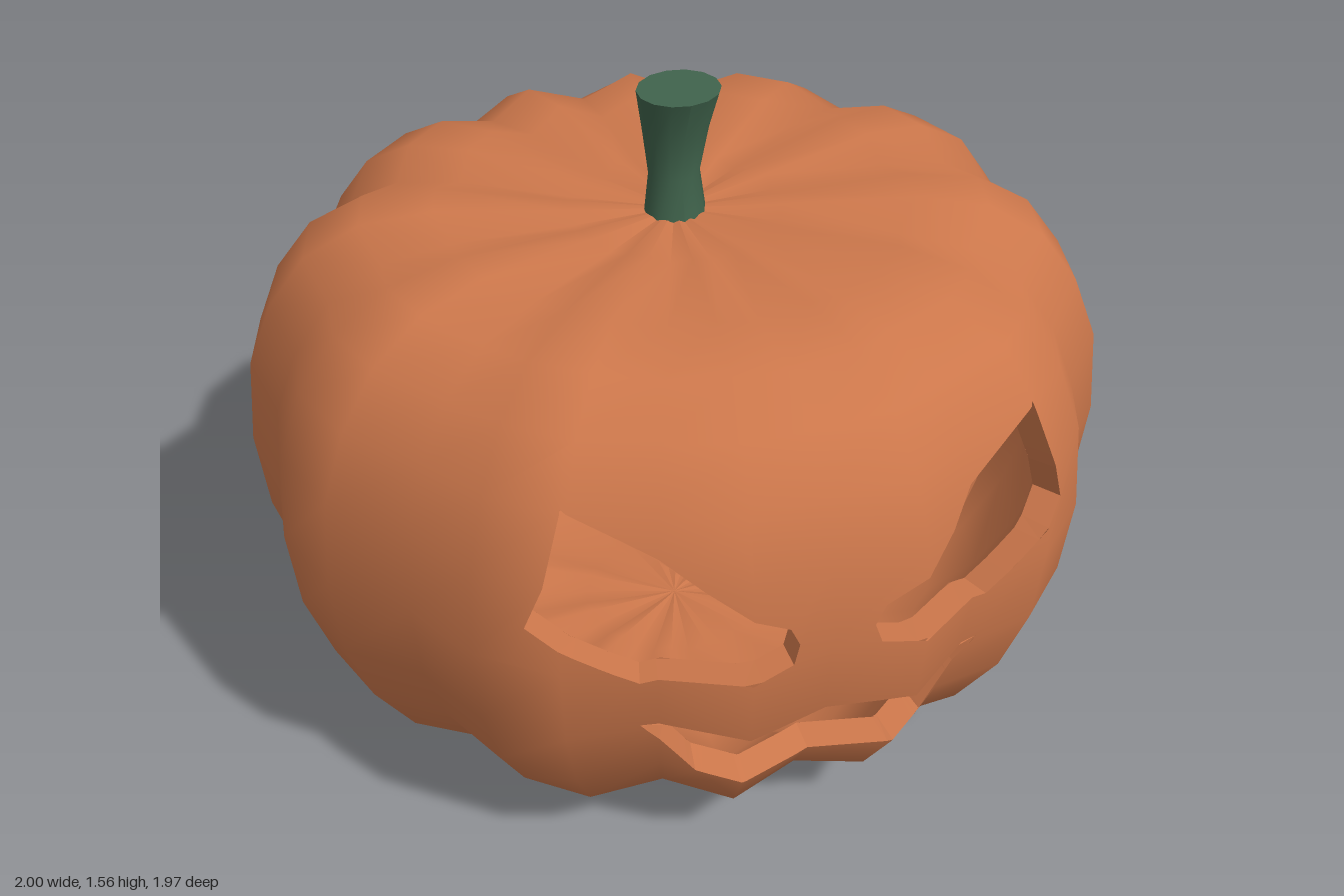
import * as THREE from 'three';

const SIDES = 32, CY = 0.64, WALL = 0.93, CUT = 0.95;
// rib profile (radius, height), top to bottom
const PROFILE = [[0, 1.235], [0.25, 1.25], [0.55, 1.275], [0.72, 1.253], [0.85, 1.18], [0.94, 1.06], [1.0, 0.91],
  [1.02, 0.7], [1.0, 0.5], [0.94, 0.32], [0.84, 0.16], [0.72, 0.06], [0.55, 0], [0.25, 0.02], [0, 0.03]];
// ribs and grooves over one quarter turn
const RIBS = [0.955, 1, 1, 0.94, 0.985, 0.99, 0.93, 0.985, 0.925];

const mirror = (poly) => poly.map(([x, y]) => [-x, y]).reverse();
const shrink = (poly, s) => poly.map(([x, y]) => [x * s, CY + (y - CY) * s]);

// carved outlines, counter-clockwise from the front
const EYE = [[-0.524, 1.064], [-0.615, 0.8], [-0.4, 0.652], [-0.1, 0.693], [-0.085, 0.738], [-0.107, 0.786]];
const HALF_MOUTH = [[0, 0.305], [0.17, 0.315], [0.27, 0.338], [0.396, 0.52], [0, 0.5]];
const MOUTH = [[-0.396, 0.52], [-0.27, 0.338], [-0.17, 0.315], ...HALF_MOUTH];
const HOLES = [EYE, mirror(EYE), HALF_MOUTH, mirror(HALF_MOUTH)];

// closed ribbed shell, scaled about the pumpkin's middle
function shell(scale, inward) {
  const pos = [], index = [];
  PROFILE.forEach(([r, y]) => {
    for (let k = 0; k < SIDES; k++) {
      const q = k % 16, rib = RIBS[q <= 8 ? q : 16 - q];
      const f = scale * (1 + (rib - 1) * Math.min(1, r / 0.5));
      const a = k / SIDES * Math.PI * 2;
      pos.push(Math.cos(a) * r * f, CY + (y - CY) * f, Math.sin(a) * r * f);
    }
  });
  for (let j = 0; j < PROFILE.length - 1; j++) {
    for (let k = 0; k < SIDES; k++) {
      const n = (k + 1) % SIDES;
      const a = j * SIDES + k, b = j * SIDES + n, c = a + SIDES, d = b + SIDES;
      const tris = [];
      if (j > 0) tris.push([a, b, d]);
      if (j < PROFILE.length - 2) tris.push([a, d, c]);
      else if (j === PROFILE.length - 2) tris[0] = [a, b, d];
      tris.forEach(([p, q, r]) => index.push(...(inward ? [p, r, q] : [p, q, r])));
    }
  }
  const g = new THREE.BufferGeometry();
  g.setAttribute('position', new THREE.Float32BufferAttribute(pos, 3));
  g.setIndex(index);
  g.computeVertexNormals();
  return g;
}

// keep the part of a polygon on one side of the line a-b
function clip(poly, a, b, sign) {
  const side = (v) => sign * ((b[0] - a[0]) * (v[1] - a[1]) - (b[1] - a[1]) * (v[0] - a[0]));
  const out = [];
  poly.forEach((v, i) => {
    const w = poly[(i + 1) % poly.length], s = side(v), t = side(w);
    if (s >= 0) out.push(v);
    if ((s > 0 && t < 0) || (s < 0 && t > 0)) out.push(v.map((c, m) => c + (w[m] - c) * s / (s - t)));
  });
  return out.length > 2 ? out : [];
}

// polygon minus a convex hole
function subtract(poly, hole) {
  const pieces = [];
  let rest = poly;
  for (let i = 0; i < hole.length; i++) {
    const a = hole[i], b = hole[(i + 1) % hole.length];
    const outside = clip(rest, a, b, -1);
    if (outside.length) pieces.push(outside);
    rest = clip(rest, a, b, 1);
    if (!rest.length) return [poly];
  }
  return pieces;
}

// cut the holes through the front half of a shell
function carve(geometry, holes) {
  const p = geometry.attributes.position, n = geometry.attributes.normal, idx = geometry.index.array;
  const vert = (i) => [p.getX(i), p.getY(i), p.getZ(i), n.getX(i), n.getY(i), n.getZ(i)];
  const pos = [], nor = [];
  for (let t = 0; t < idx.length; t += 3) {
    const tri = [vert(idx[t]), vert(idx[t + 1]), vert(idx[t + 2])];
    let pieces = [tri];
    if (tri.every((v) => v[2] > 0.1)) holes.forEach((h) => { pieces = pieces.flatMap((q) => subtract(q, h)); });
    pieces.forEach((q) => {
      for (let i = 1; i < q.length - 1; i++) {
        [q[0], q[i], q[i + 1]].forEach((v) => { pos.push(...v.slice(0, 3)); nor.push(...v.slice(3)); });
      }
    });
  }
  const g = new THREE.BufferGeometry();
  g.setAttribute('position', new THREE.Float32BufferAttribute(pos, 3));
  g.setAttribute('normal', new THREE.Float32BufferAttribute(nor, 3));
  return g;
}

// cut faces between the outer and inner outlines
function rim(outline, outer, inner) {
  const probe = new THREE.MeshBasicMaterial({ side: THREE.DoubleSide });
  const project = (geometry, poly) => {
    const mesh = new THREE.Mesh(geometry, probe), pts = [], steps = 8;
    poly.forEach((a, i) => {
      const b = poly[(i + 1) % poly.length];
      for (let s = 0; s < steps; s++) {
        const x = a[0] + (b[0] - a[0]) * s / steps, y = a[1] + (b[1] - a[1]) * s / steps;
        const ray = new THREE.Raycaster(new THREE.Vector3(x + 1e-5, y + 1e-5, 3), new THREE.Vector3(0, 0, -1));
        const hit = ray.intersectObject(mesh)[0];
        pts.push([x, y, hit ? hit.point.z : 0.85]);
      }
    });
    return pts;
  };
  const o = project(outer, outline), n = project(inner, shrink(outline, CUT)), pos = [];
  o.forEach((a, i) => {
    const j = (i + 1) % o.length;
    pos.push(...a, ...o[j], ...n[j], ...a, ...n[j], ...n[i]);
  });
  const g = new THREE.BufferGeometry();
  g.setAttribute('position', new THREE.Float32BufferAttribute(pos, 3));
  g.computeVertexNormals();
  return g;
}

// flared stem leaning to the front: height, x radius, z radius, z centre, tilt
function stemGeometry() {
  const rings = [[1.548, 0.097, 0.078, 0.027, -0.1], [1.44, 0.077, 0.057, 0.008, 0],
    [1.33, 0.06, 0.053, -0.003, 0], [1.21, 0.075, 0.068, 0.004, 0]];
  const g = new THREE.CylinderGeometry(1, 1, 3, 14, 3);
  const p = g.attributes.position;
  for (let i = 0; i < p.count; i++) {
    const [y, rx, rz, cz, tilt] = rings[Math.round(1.5 - p.getY(i))];
    const z = p.getZ(i) * rz;
    p.setXYZ(i, p.getX(i) * rx, y + z * tilt, cz + z);
  }
  g.computeVertexNormals();
  return g;
}

export function createModel() {
  const model = new THREE.Group();
  model.name = 'carvedPumpkin';
  const orange = new THREE.MeshStandardMaterial({ color: 0xcc774b, side: THREE.DoubleSide });
  orange.name = 'pumpkinOrange';
  const green = new THREE.MeshStandardMaterial({ color: 0x3f624b });
  green.name = 'stemGreen';
  const add = (name, geometry, material) => {
    const mesh = new THREE.Mesh(geometry, material);
    mesh.name = name;
    model.add(mesh);
  };

  const outer = shell(1, false), inner = shell(WALL, true);
  add('outerSkin', carve(outer, HOLES), orange);
  add('innerWall', carve(inner, HOLES.map((h) => shrink(h, CUT))), orange);
  add('rightEyeRim', rim(EYE, outer, inner), orange);
  add('leftEyeRim', rim(mirror(EYE), outer, inner), orange);
  add('mouthRim', rim(MOUTH, outer, inner), orange);
  add('stem', stemGeometry(), green);
  return model;
}
